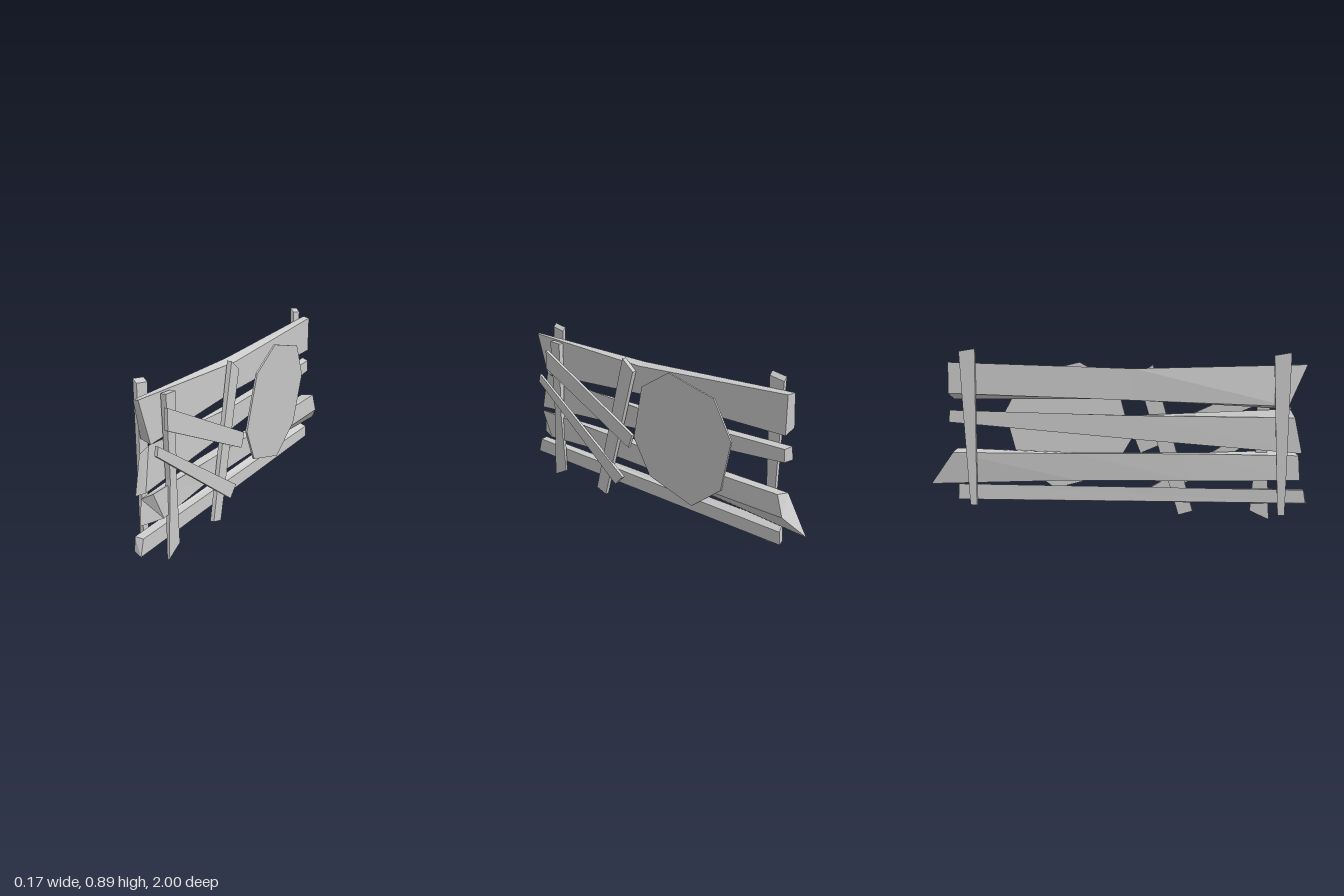
import * as THREE from 'three';

const material = new THREE.MeshStandardMaterial({ color: 0xcccccc, flatShading: true });

// Solid through equal-sized rings of [x, y, z] corners, capped at both ends
function loft(name, rings) {
  const n = rings[0].length, pts = rings.flat(), last = (rings.length - 1) * n;
  let tris = [];
  for (let r = 0; r < rings.length - 1; r++) {
    for (let i = 0; i < n; i++) {
      const a = r * n + i, b = r * n + (i + 1) % n;
      tris.push([a, b, b + n], [a, b + n, a + n]);
    }
  }
  for (let i = 1; i < n - 1; i++) tris.push([0, i + 1, i], [last, last + i, last + i + 1]);
  // Turn every face outward whichever way the rings run
  const v = pts.map((p) => new THREE.Vector3(...p));
  const volume = tris.reduce((s, [a, b, c]) => s + v[a].dot(v[b].clone().cross(v[c])), 0);
  if (volume < 0) tris = tris.map(([a, b, c]) => [a, c, b]);
  const geometry = new THREE.BufferGeometry();
  geometry.setAttribute('position', new THREE.Float32BufferAttribute(tris.flat().flatMap((i) => pts[i]), 3));
  geometry.computeVertexNormals();
  const mesh = new THREE.Mesh(geometry, material);
  mesh.name = name;
  return mesh;
}

// Thin batten: each station is [z1, y1, z2, y2, xBack, xFront] across its width
function batten(name, stations) {
  return loft(name, stations.map(([z1, y1, z2, y2, xb, xf]) =>
    [[xb, y1, z1], [xf, y1, z1], [xf, y2, z2], [xb, y2, z2]]));
}

// Upright post with a slanted top, narrowing downward
function post(name, x, z) {
  const w = 0.019;
  return loft(name, [
    [[x, 0.895, z + 0.045], [x + w, 0.875, z + 0.045], [x + w, 0.86, z - 0.04], [x, 0.88, z - 0.04]],
    [[x, 0.45, z + 0.04], [x + w, 0.45, z + 0.04], [x + w, 0.45, z - 0.02], [x, 0.45, z - 0.02]],
    [[x, 0.055, z + 0.035], [x + w, 0.05, z + 0.035], [x + w, 0.05, z], [x, 0.055, z]],
  ]);
}

export function createModel() {
  const group = new THREE.Group();
  group.name = 'brokenFence';

  group.add(post('frontPost', -0.085, 0.85), post('backPost', -0.068, -0.775));

  // Long rails; corners run top back, top front, bottom front, bottom back
  group.add(
    loft('topRail', [
      [[-0.03, 0.83, 0.98], [-0.008, 0.83, 0.975], [-0.008, 0.6, 0.89], [-0.06, 0.62, 0.89]],
      [[-0.05, 0.8, 0.1], [0, 0.785, 0.1], [0, 0.635, 0.1], [-0.05, 0.635, 0.1]],
      [[-0.05, 0.82, -0.88], [-0.01, 0.815, -0.87], [-0.01, 0.62, -0.865], [-0.05, 0.655, -0.885]],
    ]),
    loft('upperMiddleRail', [
      [[-0.046, 0.56, 0.925], [-0.012, 0.6, 0.9], [-0.006, 0.39, 0.945], [-0.048, 0.375, 0.965]],
      [[-0.048, 0.555, 0.1], [-0.008, 0.55, 0.1], [-0.008, 0.435, 0.1], [-0.048, 0.43, 0.1]],
      [[-0.048, 0.565, -0.88], [-0.01, 0.555, -0.865], [-0.01, 0.49, -0.865], [-0.048, 0.5, -0.885]],
    ]),
    loft('lowerMiddleRail', [
      [[-0.03, 0.36, 0.95], [0.016, 0.38, 0.92], [0.018, 0.23, 0.84], [-0.032, 0.23, 0.96]],
      [[-0.045, 0.36, 0.4], [0.004, 0.355, 0.4], [0.004, 0.245, 0.4], [-0.045, 0.215, 0.4]],
      [[-0.045, 0.345, -0.2], [0.01, 0.34, -0.2], [0.01, 0.235, -0.2], [-0.04, 0.2, -0.2]],
      [[-0.045, 0.335, -0.87], [0.03, 0.345, -0.865], [0.035, 0.24, -0.9], [-0.025, 0.155, -1]],
    ]),
    loft('bottomRail', [
      [[-0.05, 0.185, 0.98], [-0.008, 0.18, 0.975], [-0.008, 0.1, 1], [-0.048, 0.115, 0.99]],
      [[-0.05, 0.165, -0.84], [-0.01, 0.14, -0.855], [-0.01, 0.075, -0.86], [-0.05, 0.08, -0.845]],
    ]),
  );

  // Loose battens nailed across the rails
  group.add(
    batten('uprightBatten', [
      [0.81, 0.815, 0.73, 0.81, 0, 0.028],
      [0.79, 0.4, 0.735, 0.4, 0, 0.026],
      [0.81, 0.005, 0.71, 0.05, 0.01, 0.02],
    ]),
    batten('leaningBatten', [
      [0.195, 0.815, 0.115, 0.755, 0.005, 0.03],
      [0.41, 0.035, 0.335, 0.012, 0.018, 0.038],
    ]),
    batten('upperSlat', [
      [0.83, 0.76, 0.835, 0.655, 0.03, 0.048],
      [0.1, 0.415, 0.13, 0.34, 0.035, 0.052],
    ]),
    batten('lowerSlat', [
      [0.905, 0.605, 0.915, 0.56, 0.025, 0.04],
      [0.185, 0.155, 0.245, 0.1, 0.03, 0.047],
    ]),
  );

  // Eight-sided board leaning outward at the top
  const outline = [[-0.2, 0.815], [-0.5, 0.74], [-0.605, 0.545], [-0.53, 0.275],
    [-0.33, 0.135], [-0.03, 0.22], [0.08, 0.41], [0, 0.705]];
  group.add(loft('signBoard', [0.022, 0.032].map((x) =>
    outline.map(([z, y]) => [x + 0.062 * y, y, z]))));

  return group;
}
